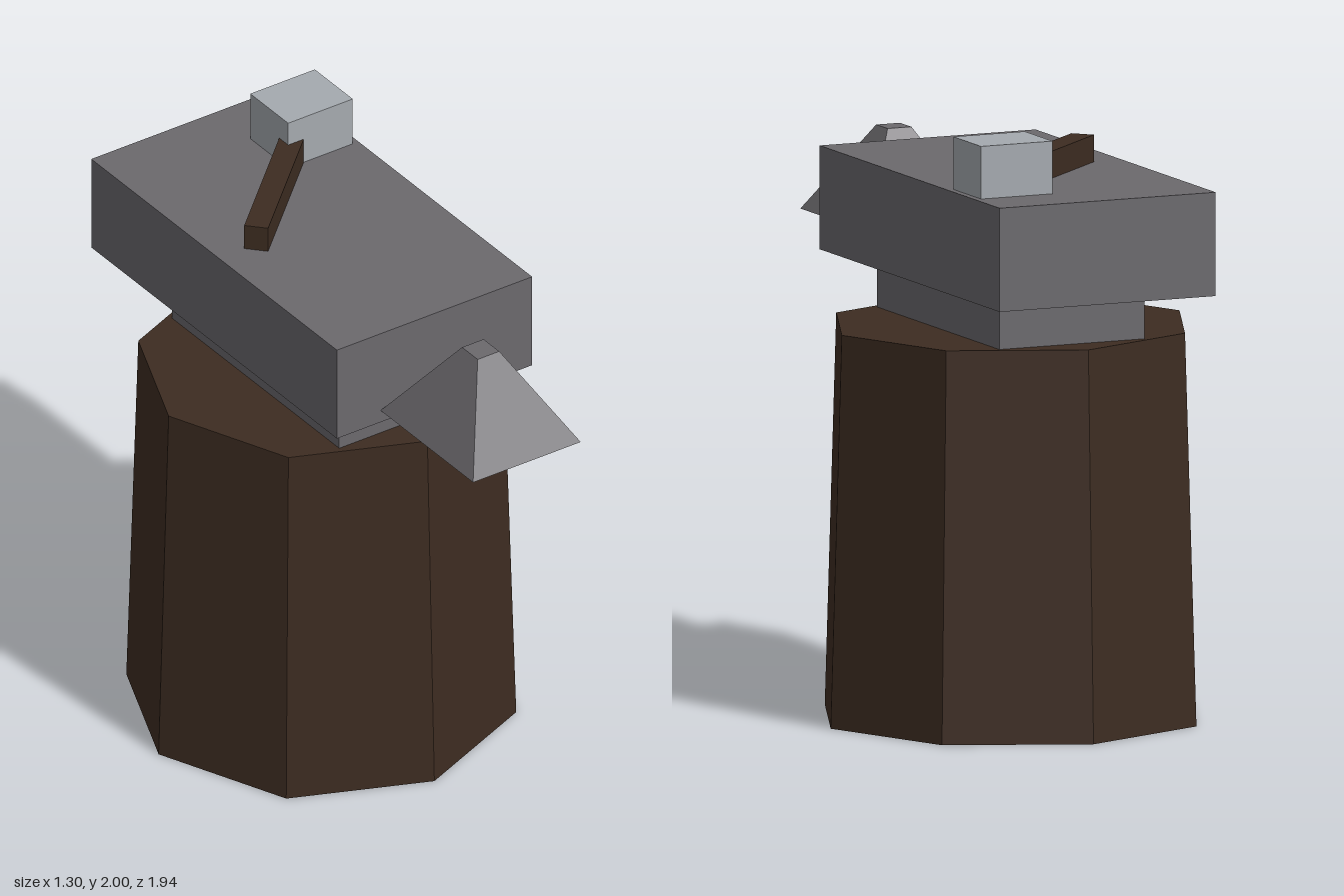
import * as THREE from 'three';

export function createModel() {
  const model = new THREE.Group();
  model.name = 'anvilOnStump';

  const material = (name, color) => {
    const m = new THREE.MeshStandardMaterial({ color });
    m.name = name;
    return m;
  };
  const wood = material('darkWood', 0x3d2c21);
  const iron = material('darkIron', 0x6b696d);
  const steel = material('paleSteel', 0xa5aaaf);

  const add = (name, geometry, mat, x, y, z) => {
    const mesh = new THREE.Mesh(geometry, mat);
    mesh.name = name;
    mesh.position.set(x, y, z);
    model.add(mesh);
    return mesh;
  };

  // Tapered eight-sided stump, with flat facets
  const stump = new THREE.CylinderGeometry(0.61, 0.65, 1.305, 8).toNonIndexed();
  stump.computeVertexNormals();
  add('stump', stump, wood, 0, 0.6525, -0.21);

  // Anvil waist and body
  add('anvilWaist', new THREE.BoxGeometry(0.524, 0.175, 0.96), iron, 0, 1.3925, -0.21);
  add('anvilBody', new THREE.BoxGeometry(0.78, 0.345, 1.412), iron, 0, 1.6525, -0.265);

  // Horn: a box whose top is pinched to a small square
  const horn = new THREE.BoxGeometry(0.43, 0.3, 0.532);
  const p = horn.attributes.position;
  for (let i = 0; i < p.count; i++) {
    if (p.getY(i) > 0) {
      p.setX(i, Math.sign(p.getX(i)) * 0.043);
      p.setZ(i, Math.sign(p.getZ(i)) * 0.045);
    }
  }
  horn.computeVertexNormals();
  add('anvilHorn', horn, iron, 0, 1.675, 0.706);

  // Hammer lying on the anvil
  const handle = add('hammerHandle', new THREE.BoxGeometry(0.565, 0.09, 0.08), wood, -0.054, 1.87, -0.402);
  handle.rotation.y = 0.75;
  add('hammerHead', new THREE.BoxGeometry(0.258, 0.175, 0.218), steel, 0.238, 1.9125, -0.666);

  return model;
}
